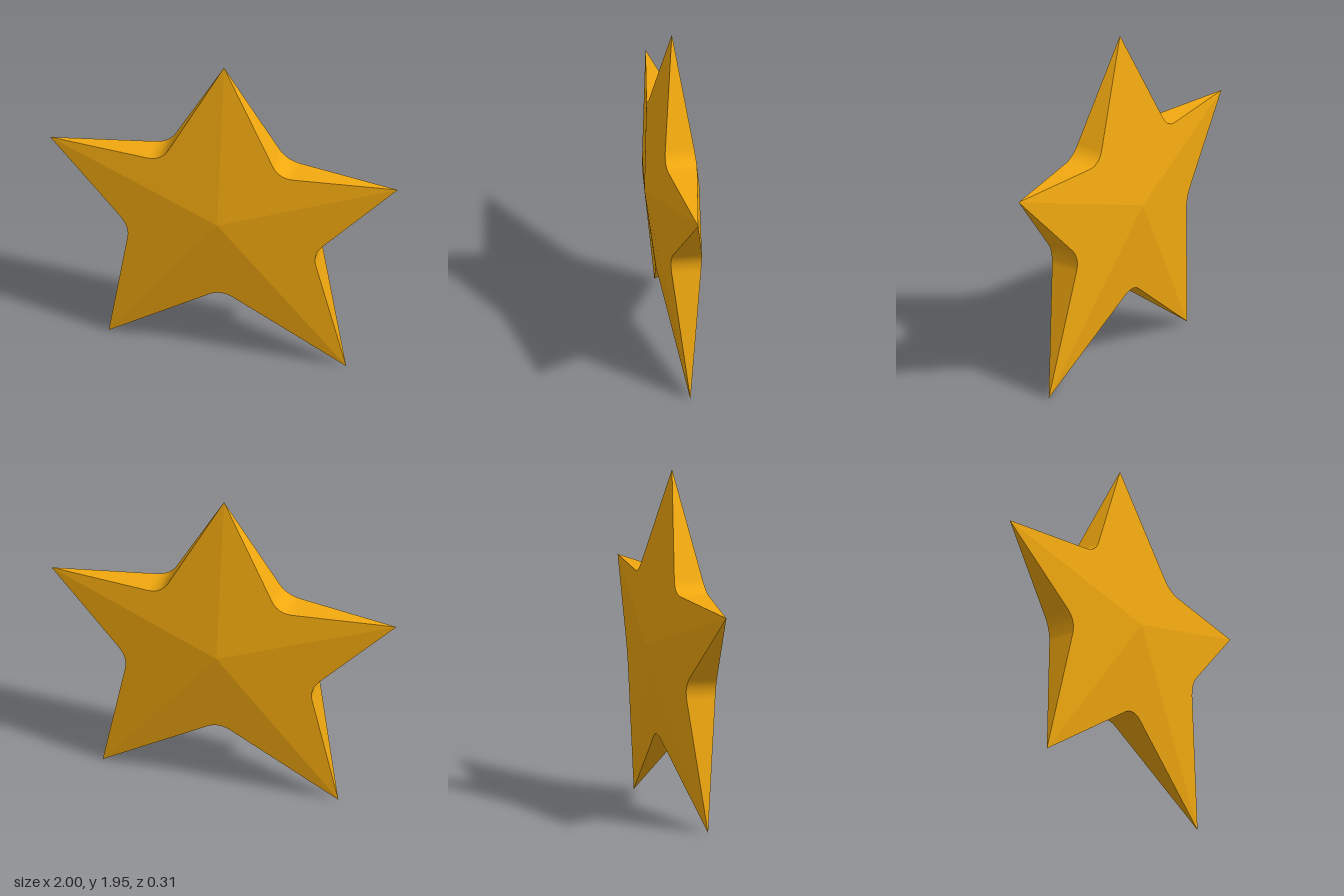
import * as THREE from 'three';

const v = (x, y, z = 0) => new THREE.Vector3(x, y, z);

// Star corners, counter-clockwise from the top; notches[i] lies between tips[i] and tips[i + 1]
const tips = [v(0, 1.945), v(-1, 1.28), v(-0.663, 0), v(0.703, 0), v(1, 1.28)];
const NOTCH_Z = 0.092;
const notches = [
  v(-0.338, 1.302, NOTCH_Z), v(-0.52, 0.811, NOTCH_Z), v(0.005, 0.468, NOTCH_Z),
  v(0.532, 0.812, NOTCH_Z), v(0.338, 1.302, NOTCH_Z),
];
const apex = v(0, 0.96, 0.155);
const ROUND = 0.085; // how far the notch rounding reaches along each edge

// Rim from one tip, round the notch, to the next tip
function rim(i) {
  const a = tips[i], b = tips[(i + 1) % 5], n = notches[i];
  const toward = (t) => n.clone().add(t.clone().sub(n).setLength(ROUND));
  const curve = new THREE.QuadraticBezierCurve3(toward(a), n, toward(b));
  return [a, ...curve.getPoints(10), b];
}

function geometry(points, index) {
  const g = new THREE.BufferGeometry().setFromPoints(points);
  g.setIndex(index);
  g.computeVertexNormals();
  return g;
}

// Facet from the centre point out to a rim, with one shared normal; side is 1 (front) or -1 (back)
function facet(points, side) {
  const all = [apex, ...points];
  const index = [];
  const normal = v(0, 0);
  for (let k = 1; k < points.length; k++) {
    index.push(0, ...(side > 0 ? [k, k + 1] : [k + 1, k]));
    normal.add(all[k].clone().sub(apex).cross(all[k + 1].clone().sub(apex)));
  }
  normal.normalize();
  const g = geometry(all.map((p) => v(p.x, p.y, p.z * side)), index);
  for (let k = 0; k < all.length; k++) {
    g.attributes.normal.setXYZ(k, normal.x, normal.y, normal.z * side);
  }
  return g;
}

// Edge wall joining the front rim to the back rim
function wall(points) {
  const all = points.flatMap((p) => [p, v(p.x, p.y, -p.z)]);
  const index = [];
  for (let k = 0; k < points.length - 1; k++) {
    const f = 2 * k;
    if (k > 0) index.push(f, f + 1, f + 2);
    if (k < points.length - 2) index.push(f + 1, f + 3, f + 2);
    else index.push(f, f + 1, f + 3);
    if (k === 0) index.splice(0, 3, 0, 3, 2);
  }
  return geometry(all, index);
}

export function createModel() {
  const star = new THREE.Group();
  star.name = 'star';
  const material = new THREE.MeshStandardMaterial({ color: 0xf2a90f });
  const add = (name, g) => {
    const mesh = new THREE.Mesh(g, material);
    mesh.name = name;
    star.add(mesh);
  };

  for (let i = 0; i < 5; i++) {
    const points = rim(i);
    add(`frontFacet${i + 1}`, facet(points, 1));
    add(`backFacet${i + 1}`, facet(points, -1));
    add(`edgeWall${i + 1}`, wall(points));
  }
  return star;
}
